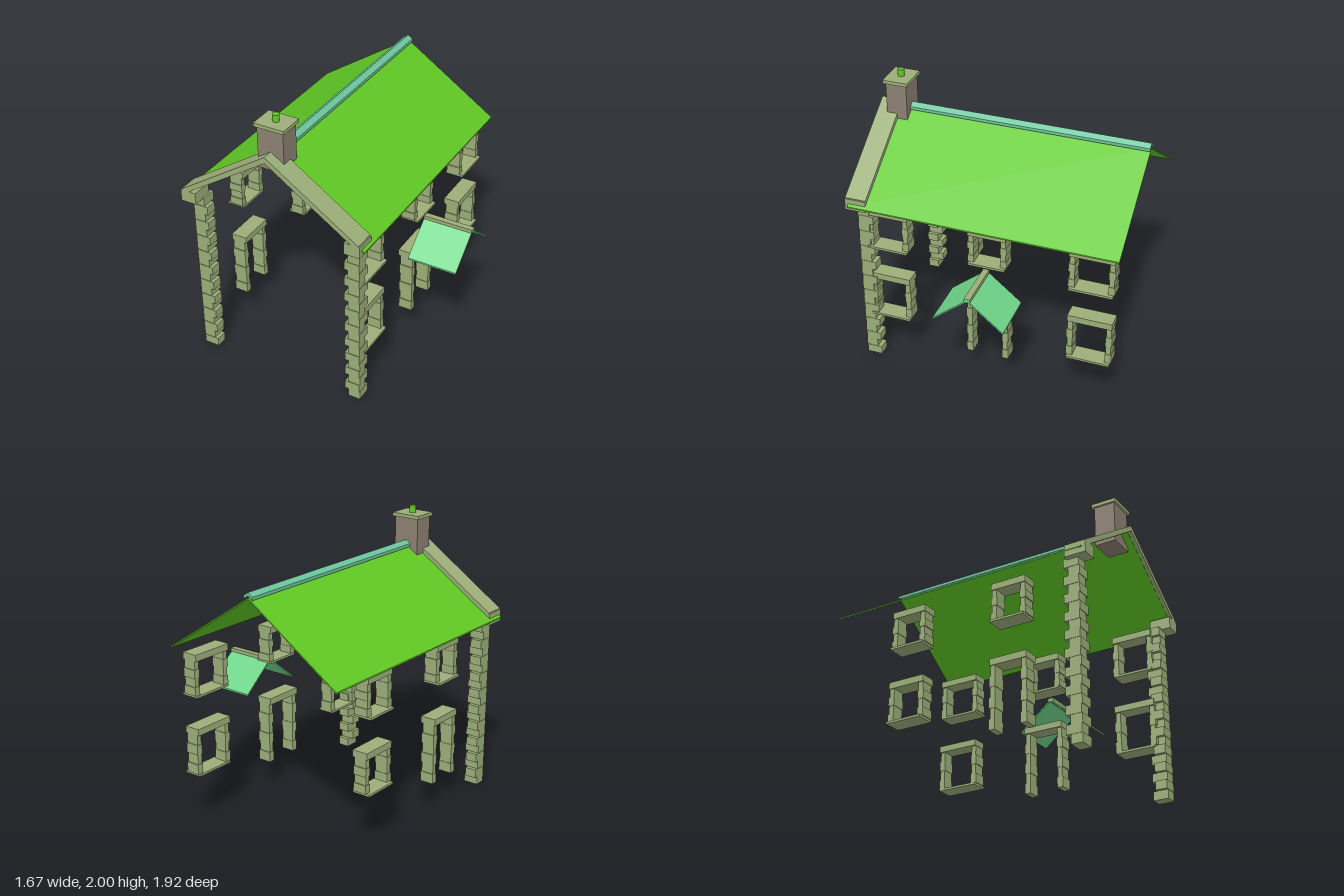
import * as THREE from 'three';

export function createModel() {
  const model = new THREE.Group();
  const mat = (name, color) => {
    const m = new THREE.MeshStandardMaterial({ color });
    m.name = name;
    return m;
  };
  const stone = mat('sage stone', 0x9cae79);
  const green = mat('roof green', 0x60c824);
  const mint = mat('mint green', 0x70d68a);
  const ridgeTeal = mat('ridge teal', 0x6cc69c);
  const brick = mat('chimney brown', 0x8c8072);

  const CX = -0.15; // centre line of the house

  function add(name, geometry, material, parent = model) {
    const mesh = new THREE.Mesh(geometry, material);
    mesh.name = name;
    parent.add(mesh);
    return mesh;
  }
  // Box from its minimum and maximum on each axis
  function box(name, x0, x1, y0, y1, z0, z1, material, parent) {
    const g = new THREE.BoxGeometry(Math.abs(x1 - x0), y1 - y0, z1 - z0);
    g.translate((x0 + x1) / 2, (y0 + y1) / 2, (z0 + z1) / 2);
    return add(name, g, material, parent);
  }
  // Inverted V band, pulled along z
  function chevron(halfWidth, ridgeY, eaveY, thickness, length) {
    const s = new THREE.Shape();
    s.moveTo(-halfWidth, eaveY);
    s.lineTo(-halfWidth, eaveY - thickness);
    s.lineTo(0, ridgeY - thickness);
    s.lineTo(halfWidth, eaveY - thickness);
    s.lineTo(halfWidth, eaveY);
    s.lineTo(0, ridgeY);
    return new THREE.ExtrudeGeometry(s, { depth: length, bevelEnabled: false });
  }

  // Main roof, ridge capping and front gable coping
  add('roof', chevron(0.687, 1.73, 1.272, 0.01, 1.895), green).position.set(CX, 0, -0.96);
  add('ridgeCap', chevron(0.036, 1.765, 1.741, 0.022, 1.77), ridgeTeal).position.set(CX, 0, -0.96);
  add('gableCoping', chevron(0.66, 1.766, 1.325, 0.043, 0.15), stone).position.set(CX, 0, 0.81);

  // Chimney
  box('chimneyStack', CX - 0.095, CX + 0.095, 1.63, 1.925, 0.735, 0.885, brick);
  box('chimneySlab', CX - 0.11, CX + 0.11, 1.925, 1.95, 0.72, 0.9, stone);
  const pot = add('chimneyPot', new THREE.CylinderGeometry(0.023, 0.023, 0.06, 16), green);
  pot.position.set(CX, 1.97, 0.81);

  // x of a point on a side wall; side is 1 or -1, x given for the +x wall
  const wallX = (side, x) => CX + side * (x - CX);

  // Corner columns of alternating blocks, with the blocks carrying the coping
  for (const side of [1, -1]) {
    const column = new THREE.Group();
    column.name = side > 0 ? 'leftCornerColumn' : 'rightCornerColumn';
    model.add(column);
    const count = 20, h = 1.245 / count;
    for (let i = 0; i < count; i++) {
      const wide = (i + (side > 0 ? 0 : 1)) % 2 === 1;
      const out = wide ? 0.475 : 0.478;
      box('columnBlock', wallX(side, wide ? 0.367 : 0.392), wallX(side, out),
        i * h, (i + 1) * h, wide ? 0.81 : 0.78, wide ? 0.892 : 0.888, stone, column);
    }
    box('kneeler', wallX(side, 0.405), wallX(side, 0.518), 1.235, 1.32, 0.81, 0.96, stone, column);
  }

  // Stone surround: lintel, block jambs and, for windows, a sill
  function surround(name, side, z0, z1, bottom, top, blocks, hasSill) {
    const g = new THREE.Group();
    g.name = name;
    model.add(g);
    const lintelY = top - 0.047;
    const jambY = hasSill ? bottom + 0.016 : bottom;
    box('lintel', wallX(side, 0.353), wallX(side, 0.468), lintelY, top, z0 + 0.004, z1 - 0.004, stone, g);
    const h = (lintelY - jambY) / blocks;
    for (let i = 0; i < blocks; i++) {
      const bulge = i % 2 ? 0 : 0.007;
      const y = jambY + i * h;
      const xa = wallX(side, 0.368 - bulge / 2), xb = wallX(side, 0.46 + bulge / 2);
      box('jambBlock', xa, xb, y, y + h, z0 + 0.007 - bulge, z0 + 0.042 + bulge / 2, stone, g);
      box('jambBlock', xa, xb, y, y + h, z1 - 0.042 - bulge / 2, z1 - 0.007 + bulge, stone, g);
    }
    if (hasSill) {
      box('sill', wallX(side, 0.357), wallX(side, 0.487), bottom, bottom + 0.016, z0 + 0.008, z1 - 0.008, stone, g);
    }
  }

  // Left wall: two rows of windows around the covered door
  for (const [z0, z1] of [[0.53, 0.835], [-0.925, -0.605]]) {
    surround('upperWindow', 1, z0, z1, 0.932, 1.237, 4, true);
    surround('lowerWindow', 1, z0, z1, 0.365, 0.712, 4, true);
  }
  surround('upperWindow', 1, -0.178, 0.1, 0.965, 1.237, 4, true);
  surround('coveredDoor', 1, -0.19, 0.115, 0.215, 0.706, 6, false);

  // Right wall
  surround('upperWindow', -1, 0.235, 0.497, 0.945, 1.23, 4, true);
  surround('upperWindow', -1, -0.548, -0.28, 0.945, 1.23, 4, true);
  surround('lowerWindow', -1, -0.555, -0.275, 0.414, 0.715, 4, true);
  surround('sideDoor', -1, 0.228, 0.505, 0.215, 0.696, 6, false);

  // Small canopy over the door
  const canopy = new THREE.Group();
  canopy.name = 'doorCanopy';
  canopy.position.set(0.475, 0, -0.04);
  model.add(canopy);
  const panels = chevron(0.248, 0.945, 0.741, 0.012, 0.358);
  panels.rotateY(Math.PI / 2);
  add('canopyPanels', panels, mint, canopy);
  box('canopyRidge', 0, 0.357, 0.928, 0.954, -0.021, 0.021, stone, canopy);
  box('canopyRidgeEnd', 0.357, 0.36, 0.928, 0.954, -0.021, 0.021, mint, canopy);

  return model;
}
